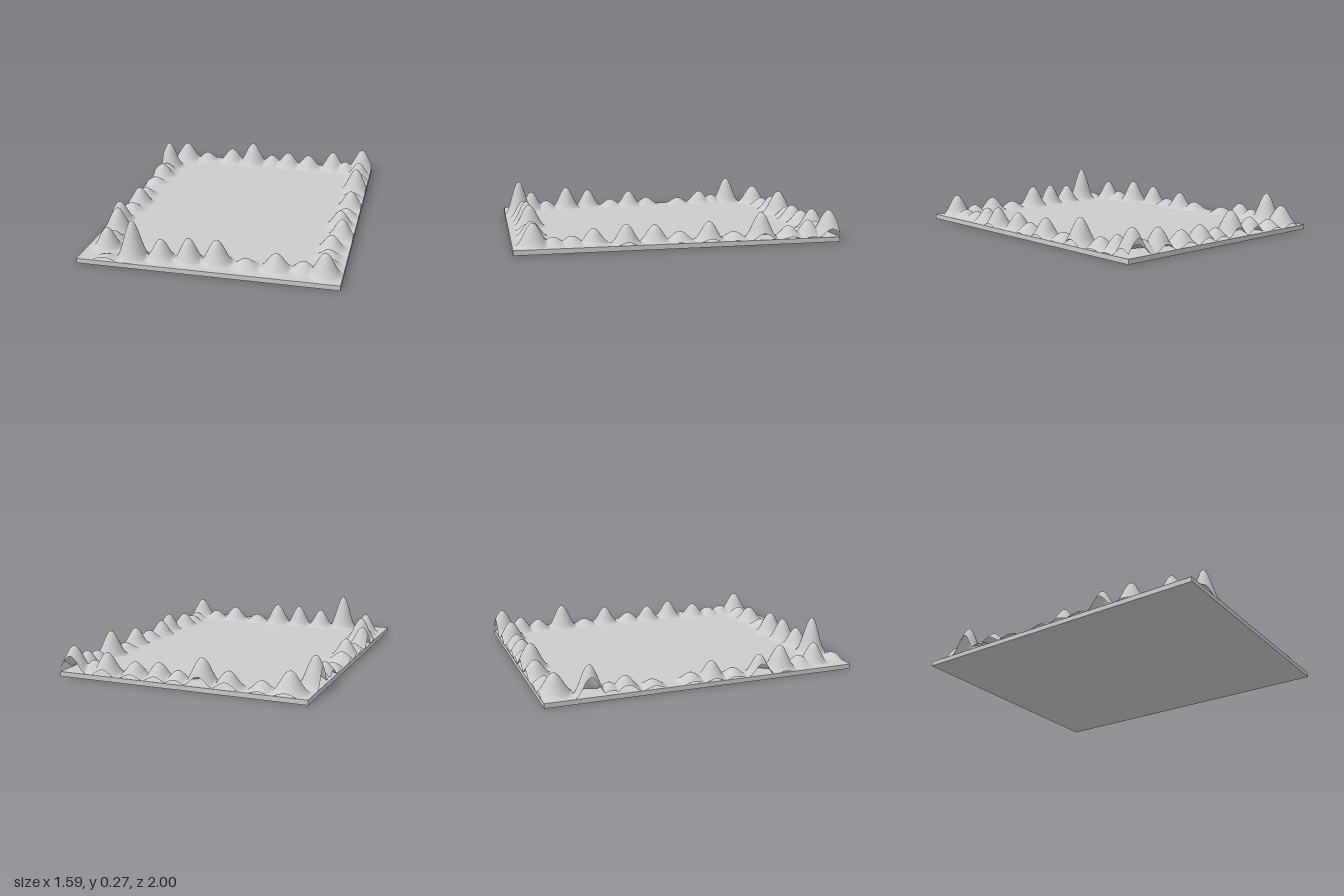
import * as THREE from 'three';

const W = 1.59, D = 2, BASE = 0.03;

// hills along each side: [x, z, peak height, radius]
const frontHills = [
  [-0.62, 0.97, 0.06, 0.1], [-0.47, 0.9, 0.265, 0.105], [-0.3, 0.88, 0.152, 0.1],
  [-0.13, 0.87, 0.172, 0.1], [0.04, 0.86, 0.174, 0.11], [0.22, 0.88, 0.08, 0.1],
  [0.4, 0.87, 0.127, 0.11], [0.56, 0.86, 0.09, 0.1], [0.69, 0.88, 0.168, 0.11],
];
const backHills = [
  [-0.66, -0.91, 0.16, 0.12], [-0.5, -0.93, 0.09, 0.1], [-0.3, -0.94, 0.13, 0.11],
  [-0.13, -0.93, 0.19, 0.12], [0.02, -0.94, 0.1, 0.1], [0.15, -0.93, 0.133, 0.11],
  [0.31, -0.93, 0.122, 0.11], [0.5, -0.93, 0.162, 0.11], [0.6, -0.91, 0.1, 0.1],
  [0.72, -0.95, 0.19, 0.12],
];
const rightHills = [
  [-0.67, 0.8, 0.16, 0.1], [-0.68, 0.69, 0.09, 0.1], [-0.7, 0.54, 0.182, 0.11],
  [-0.75, 0.37, 0.155, 0.1], [-0.73, 0.2, 0.08, 0.1], [-0.72, 0.06, 0.14, 0.1],
  [-0.73, -0.08, 0.085, 0.1], [-0.74, -0.33, 0.075, 0.1], [-0.74, -0.5, 0.12, 0.11],
  [-0.74, -0.6, 0.09, 0.1], [-0.75, -0.72, 0.215, 0.11],
];
const leftHills = [
  [0.69, 0.76, 0.08, 0.1], [0.68, 0.65, 0.08, 0.1], [0.68, 0.52, 0.12, 0.1],
  [0.72, 0.33, 0.148, 0.1], [0.69, 0.15, 0.133, 0.1], [0.71, 0, 0.09, 0.1],
  [0.72, -0.18, 0.145, 0.1], [0.71, -0.34, 0.075, 0.1], [0.72, -0.51, 0.19, 0.11],
  [0.72, -0.69, 0.1, 0.1], [0.71, -0.82, 0.13, 0.1],
];
const hills = [...frontHills, ...backHills, ...rightHills, ...leftHills];

// Each hill is a cosine bell; the highest one wins
function heightAt(x, z) {
  let h = 0;
  for (const [hx, hz, peak, r] of hills) {
    const d = Math.hypot(x - hx, z - hz) / r;
    if (d < 1) h = Math.max(h, (peak - BASE) * 0.5 * (1 + Math.cos(Math.PI * d)));
  }
  return h;
}

export function createModel() {
  const group = new THREE.Group();

  // Flat base slab
  const slab = new THREE.Mesh(
    new THREE.BoxGeometry(W, BASE, D),
    new THREE.MeshStandardMaterial({ color: 0xcccccc })
  );
  slab.position.y = BASE / 2;
  slab.name = 'baseSlab';
  group.add(slab);

  // Terrain sheet with a ring of hills, open where the slab edge cuts them
  const geo = new THREE.PlaneGeometry(W, D, 160, 200).rotateX(-Math.PI / 2);
  const pos = geo.attributes.position;
  for (let i = 0; i < pos.count; i++) {
    pos.setY(i, BASE + 0.001 + heightAt(pos.getX(i), pos.getZ(i)));
  }
  geo.computeVertexNormals();
  const terrain = new THREE.Mesh(
    geo,
    new THREE.MeshStandardMaterial({ color: 0xcccccc, side: THREE.DoubleSide })
  );
  terrain.name = 'hillTerrain';
  group.add(terrain);

  return group;
}
